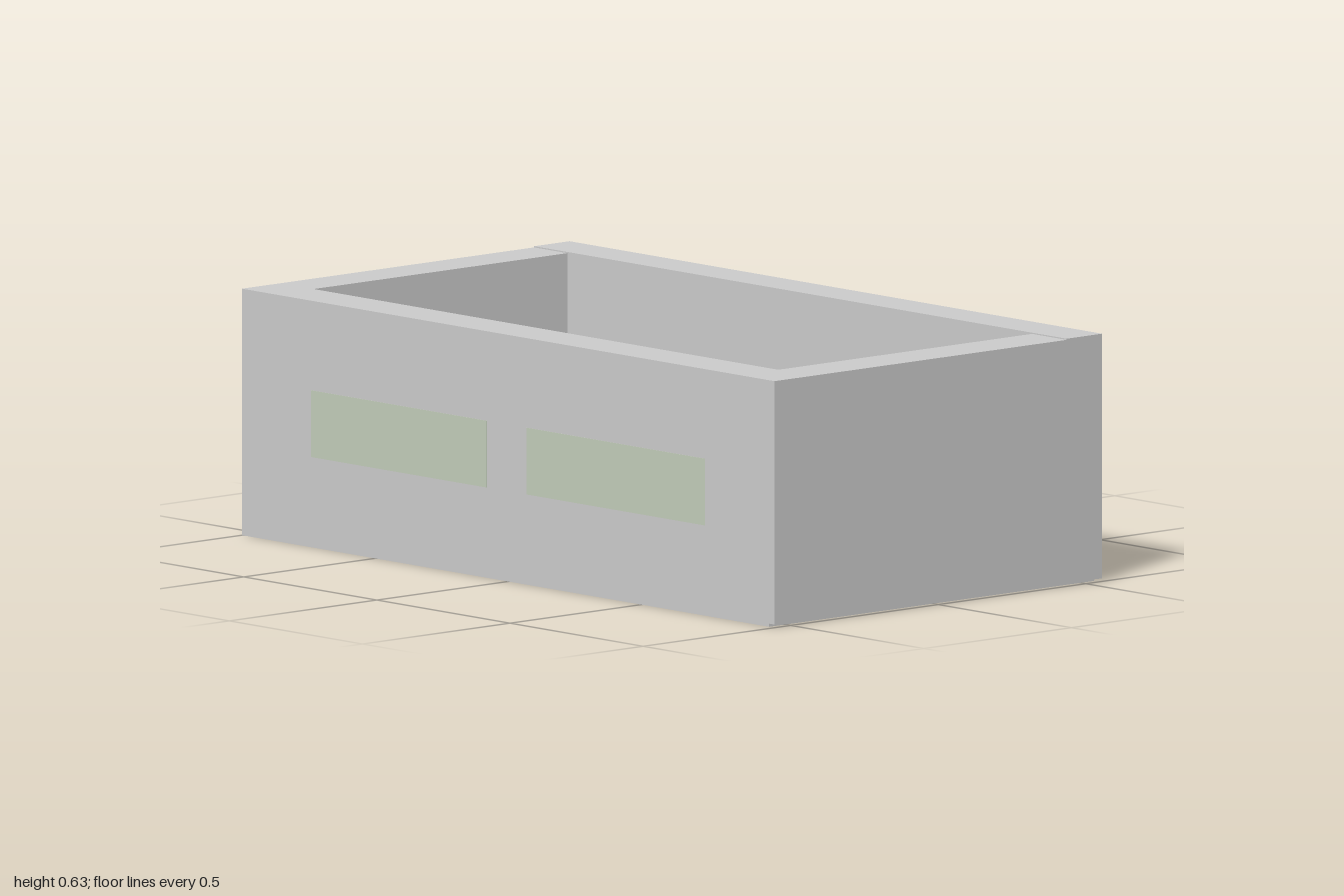
import * as THREE from 'three';

const material = (color, extra = {}) => new THREE.MeshStandardMaterial({ color, ...extra });
const grey = material(0xcccccc);
const red = material(0xd06666);
const green = material(0xc2cdba);

const FLOOR = 0.13, BASE = 0.008, TOP = 0.628;

export function createModel() {
  const model = new THREE.Group();

  const add = (name, geometry, mat, parent = model) => {
    const mesh = new THREE.Mesh(geometry, mat);
    mesh.name = name;
    parent.add(mesh);
    return mesh;
  };

  // Box given by its extents
  const block = (name, [x0, x1], [y0, y1], [z0, z1], mat = grey) => {
    const mesh = add(name, new THREE.BoxGeometry(x1 - x0, y1 - y0, z1 - z0), mat);
    mesh.position.set((x0 + x1) / 2, (y0 + y1) / 2, (z0 + z1) / 2);
    return mesh;
  };

  // Box standing on the room floor, turned about y
  const standing = (name, x, z, w, d, top, angle = 0, mat = grey) => {
    const mesh = add(name, new THREE.BoxGeometry(w, top - FLOOR, d), mat);
    mesh.position.set(x, (top + FLOOR) / 2, z);
    mesh.rotation.y = angle;
    return mesh;
  };

  // Long wall with rectangular openings [x0, x1, y0, y1]
  const wall = (name, z0, z1, top, openings) => {
    const rect = (path, x0, x1, y0, y1) =>
      path.moveTo(x0, y0).lineTo(x1, y0).lineTo(x1, y1).lineTo(x0, y1).closePath();
    const shape = new THREE.Shape();
    rect(shape, -1, 1, BASE, top);
    for (const o of openings) {
      const hole = new THREE.Path();
      rect(hole, ...o);
      shape.holes.push(hole);
    }
    const geometry = new THREE.ExtrudeGeometry(shape, { depth: z1 - z0, bevelEnabled: false });
    add(name, geometry, grey).position.z = z0;
  };

  // Shell: slab, floor and four thick walls
  const windows = [[-0.74, -0.08, 0.23, 0.40], [0.07, 0.74, 0.23, 0.40]];
  const door = [0.68, 0.86, FLOOR, 0.45];
  block('baseSlab', [-1, 0.98], [0, BASE], [-0.545, 0.555]);
  block('floor', [-0.875, 0.87], [BASE, FLOOR], [-0.435, 0.425]);
  block('sideWallRight', [-1, -0.875], [BASE, TOP], [-0.435, 0.425]);
  block('sideWallLeft', [0.87, 1], [BASE, TOP], [-0.435, 0.425]);
  wall('frontWall', 0.425, 0.555, TOP, windows);
  wall('backWall', -0.555, -0.435, 0.631, [door]);

  // Window panes fill the wall, the door sits back in its opening
  for (const [x0, x1, y0, y1] of windows) {
    block('windowPane', [x0, x1], [y0, y1], [0.424, 0.556], green);
  }
  block('door', [door[0], door[1]], [door[2], door[3]], [-0.515, -0.44]);

  // Radiators on both long walls
  for (const x of [-0.57, 0, 0.57]) {
    block('radiator', [x - 0.05, x + 0.05], [FLOOR, 0.237], [-0.435, -0.405]);
    block('radiator', [x - 0.05, x + 0.05], [FLOOR, 0.237], [0.395, 0.425]);
  }

  // Cabinets in rows along the long walls
  for (const x of [-0.67, -0.48]) standing('backCabinet', x, -0.372, 0.07, 0.12, 0.235);
  for (const x of [-0.67, -0.48, 0.28, 0.47, 0.66]) standing('frontCabinet', x, 0.367, 0.07, 0.11, 0.23);
  standing('wideCabinet', -0.16, 0.367, 0.1, 0.11, 0.2);

  // Loose stools: x, z, width, depth, angle
  const stools = [
    [-0.225, -0.187, 0.065, 0.11, 0.52], [0.28, -0.257, 0.08, 0.1, -0.56],
    [0.45, -0.29, 0.098, 0.115, 0.25], [0.535, -0.005, 0.072, 0.105, 0.75],
    [-0.34, 0.33, 0.09, 0.112, 0.63], [0.112, 0.285, 0.062, 0.115, 0.58],
  ];
  for (const [x, z, w, d, a] of stools) standing('stool', x, z, w, d, 0.22, a);

  // Red tables
  standing('redTable', -0.79, -0.308, 0.105, 0.175, 0.26, 0.24, red);
  standing('redTable', -0.82, -0.015, 0.11, 0.175, 0.26, 0, red);
  standing('redTable', -0.795, 0.242, 0.1, 0.175, 0.26, 0.17, red);

  // Kitchen row with a wall cupboard above
  for (const [z0, z1] of [[-0.225, -0.15], [-0.135, -0.025], [-0.015, 0.09], [0.095, 0.38]]) {
    block('kitchenUnit', [0.775, 0.86], [FLOOR, 0.235], [z0, z1]);
  }
  block('wallCupboard', [0.775, 0.87], [0.32, 0.43], [0.095, 0.38]);

  // Round clock on the inside of the front wall
  const clock = add('clock', new THREE.CylinderGeometry(0.03, 0.03, 0.008, 32), grey);
  clock.rotation.x = Math.PI / 2;
  clock.position.set(0, 0.36, 0.421);

  // Standing children with arms held out, facing local +z
  const child = (x, z, angle, color) => {
    const mat = material(color);
    const person = new THREE.Group();
    person.name = 'child';
    const limb = (name, points, radius) => {
      const curve = new THREE.CatmullRomCurve3(points.map((p) => new THREE.Vector3(...p)));
      add(name, new THREE.TubeGeometry(curve, 8, radius, 8), mat, person);
    };
    const torso = add('torso', new THREE.CapsuleGeometry(0.015, 0.03, 4, 12), mat, person);
    torso.position.y = 0.089;
    torso.scale.set(1.2, 1, 0.8);
    const head = add('head', new THREE.SphereGeometry(0.014, 14, 10), mat, person);
    head.position.set(0, 0.137, 0.004);
    head.scale.y = 1.25;
    for (const s of [-1, 1]) {
      limb('arm', [[s * 0.012, 0.112, 0], [s * 0.042, 0.1, 0.002], [s * 0.07, 0.088, 0.018]], 0.006);
      const hand = add('hand', new THREE.SphereGeometry(0.007, 8, 6), mat, person);
      hand.position.set(s * 0.071, 0.087, 0.02);
      limb('leg', [[s * 0.009, 0.072, 0], [s * 0.014, 0.04, 0.003], [s * 0.018, 0.004, 0]], 0.008);
      const foot = add('foot', new THREE.SphereGeometry(0.008, 8, 6), mat, person);
      foot.position.set(s * 0.018, 0.005, 0.006);
      foot.scale.set(0.9, 0.6, 1.6);
    }
    person.position.set(x, FLOOR, z);
    person.rotation.y = angle;
    model.add(person);
  };
  child(-0.56, -0.335, -1.98, 0x990d0d);
  child(-0.025, 0.278, 2.76, 0x990d0d);
  child(0.745, -0.32, -0.585, 0x1010c0);

  return model;
}
